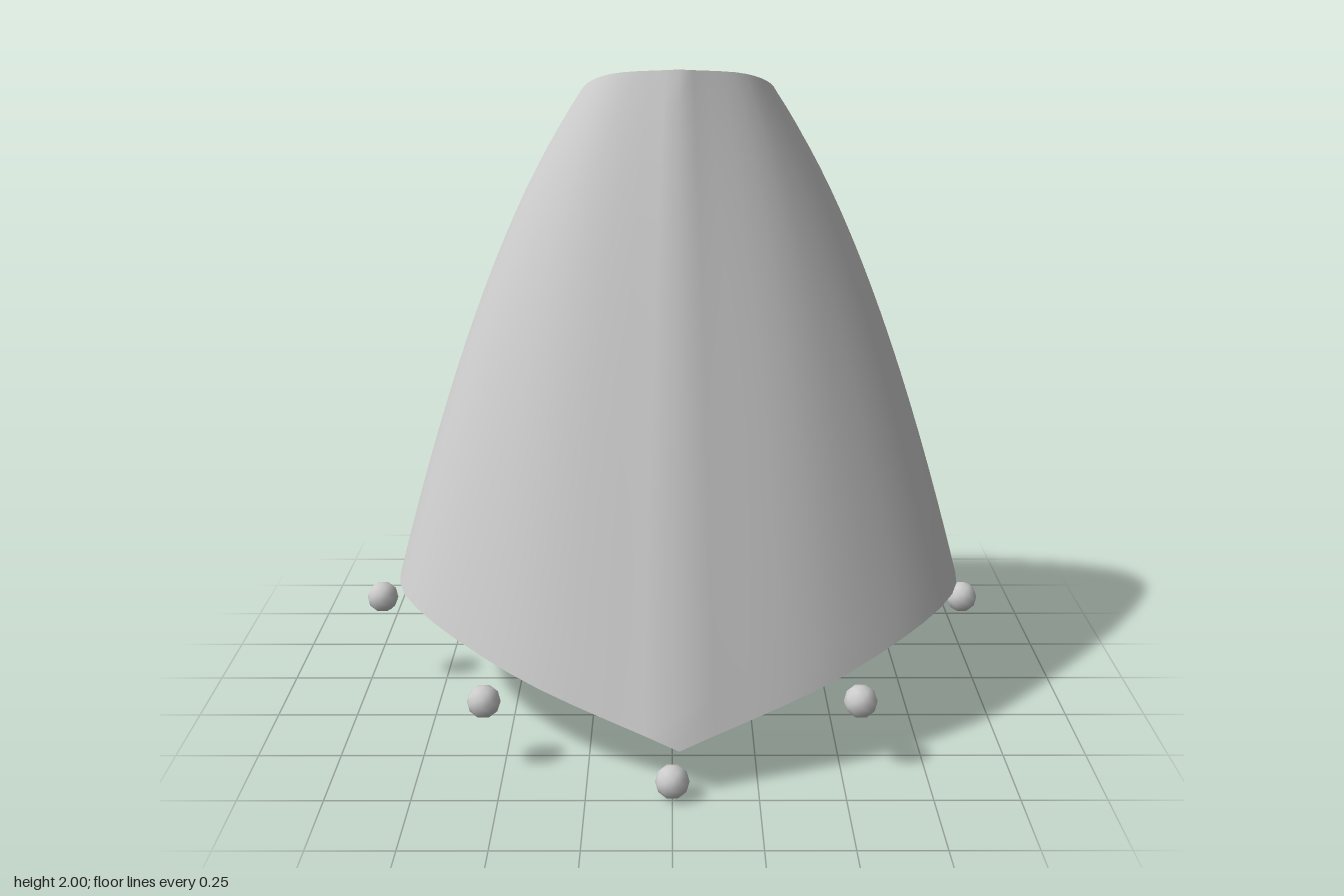
import * as THREE from 'three';

// Half of the cloak, from the front centre round to the lower back corner.
// Each row: rim point, bulge control, hem point, inner collar lip.
const COLUMNS = [
  [[0, 2, .08], [0, 1.07, .4], [0, .14, .72], [0, 1.62, -.1]],
  [[.2, 1.98, 0], [.4, 1.35, .2], [.5, .29, .53], [.08, 1.61, -.15]],
  [[.29, 1.93, -.13], [.6, 1.45, -.05], [.86, .39, .19], [.13, 1.6, -.24]],
  [[.3, 1.86, -.26], [.6, 1.5, -.32], [.89, .34, -.27], [.13, 1.55, -.34]],
  [[.27, 1.78, -.33], [.53, 1.5, -.48], [.8, .3, -.46], [.115, 1.48, -.39]],
  [[.16, 1.48, -.5], [.35, 1.2, -.66], [.56, .265, -.7], [.045, 1.27, -.5]],
  [[.1, 1.3, -.58], [.25, 1.05, -.71], [.41, .28, -.75], [.015, 1.13, -.56]],
  [[.06, 1.1, -.64], [.16, .9, -.73], [.25, .34, -.77], [.01, 1, -.6]],
  [[.02, .72, -.715], [.03, .64, -.735], [.04, .55, -.75], [.01, .7, -.69]],
];
const CENTRE_X = 0.02;
const HALF_STEPS = 40;

const curves = [0, 1, 2, 3].map(k => new THREE.CatmullRomCurve3(
  COLUMNS.map(c => new THREE.Vector3(...c[k])), false, 'centripetal'));

// Sheet swept from one back edge round the front to the other, mirrored in x
function sheet(columnAt, rows) {
  const pos = [], index = [];
  for (let i = -HALF_STEPS; i <= HALF_STEPS; i++) {
    const side = i < 0 ? -1 : 1;
    const curve = columnAt(Math.abs(i) / HALF_STEPS);
    for (let j = 0; j <= rows; j++) {
      const p = curve.getPoint(j / rows);
      pos.push(CENTRE_X + side * p.x, p.y, p.z);
    }
  }
  const n = rows + 1;
  for (let i = 0; i < HALF_STEPS * 2; i++) {
    for (let j = 0; j < rows; j++) {
      const a = i * n + j, b = a + n;
      index.push(a, a + 1, b, b, a + 1, b + 1);
    }
  }
  const g = new THREE.BufferGeometry();
  g.setAttribute('position', new THREE.Float32BufferAttribute(pos, 3));
  g.setIndex(index);
  g.computeVertexNormals();
  return g;
}

export function createModel() {
  const group = new THREE.Group();
  const cloth = new THREE.MeshStandardMaterial({ color: 0xcccccc, side: THREE.DoubleSide });
  cloth.name = 'pale grey';

  const add = (name, geometry) => {
    const mesh = new THREE.Mesh(geometry, cloth);
    mesh.name = name;
    group.add(mesh);
    return mesh;
  };
  const at = t => curves.map(c => c.getPoint(t));

  // Outer cloth, from the rim down to the hem
  add('cloak', sheet(t => {
    const [rim, bulge, hem] = at(t);
    return new THREE.QuadraticBezierCurve3(rim, bulge, hem);
  }, 18));

  // Collar rolled inwards, narrowing down the back opening
  add('collarLining', sheet(t => {
    const [rim, , , lip] = at(t);
    const roll = rim.clone().lerp(lip, 0.5);
    roll.y += (rim.y - lip.y) * 0.2;
    return new THREE.QuadraticBezierCurve3(lip, roll, rim);
  }, 8));

  // Hem turned in to give the cloth a thick edge
  add('hemEdge', sheet(t => {
    const [, , hem] = at(t);
    const inner = new THREE.Vector3(hem.x * 0.975, hem.y + 0.012, hem.z * 0.975);
    const fold = hem.clone().lerp(inner, 0.5);
    fold.y -= 0.015;
    return new THREE.QuadraticBezierCurve3(hem, fold, inner);
  }, 3));

  // Beads hanging below the hem
  const beadGeometry = new THREE.IcosahedronGeometry(0.05, 1);
  const bead = (name, x, y, z) => add(name, beadGeometry).position.set(x, y, z);
  bead('frontBead', 0, 0.05, 0.73);
  for (const [label, s] of [['left', 1], ['right', -1]]) {
    bead(label + 'FrontBead', s * 0.555, 0.215, 0.56);
    bead(label + 'SideBead', s * 0.945, 0.3, 0.01);
    bead(label + 'BackBead', s * 0.56, 0.22, -0.64);
  }
  return group;
}
